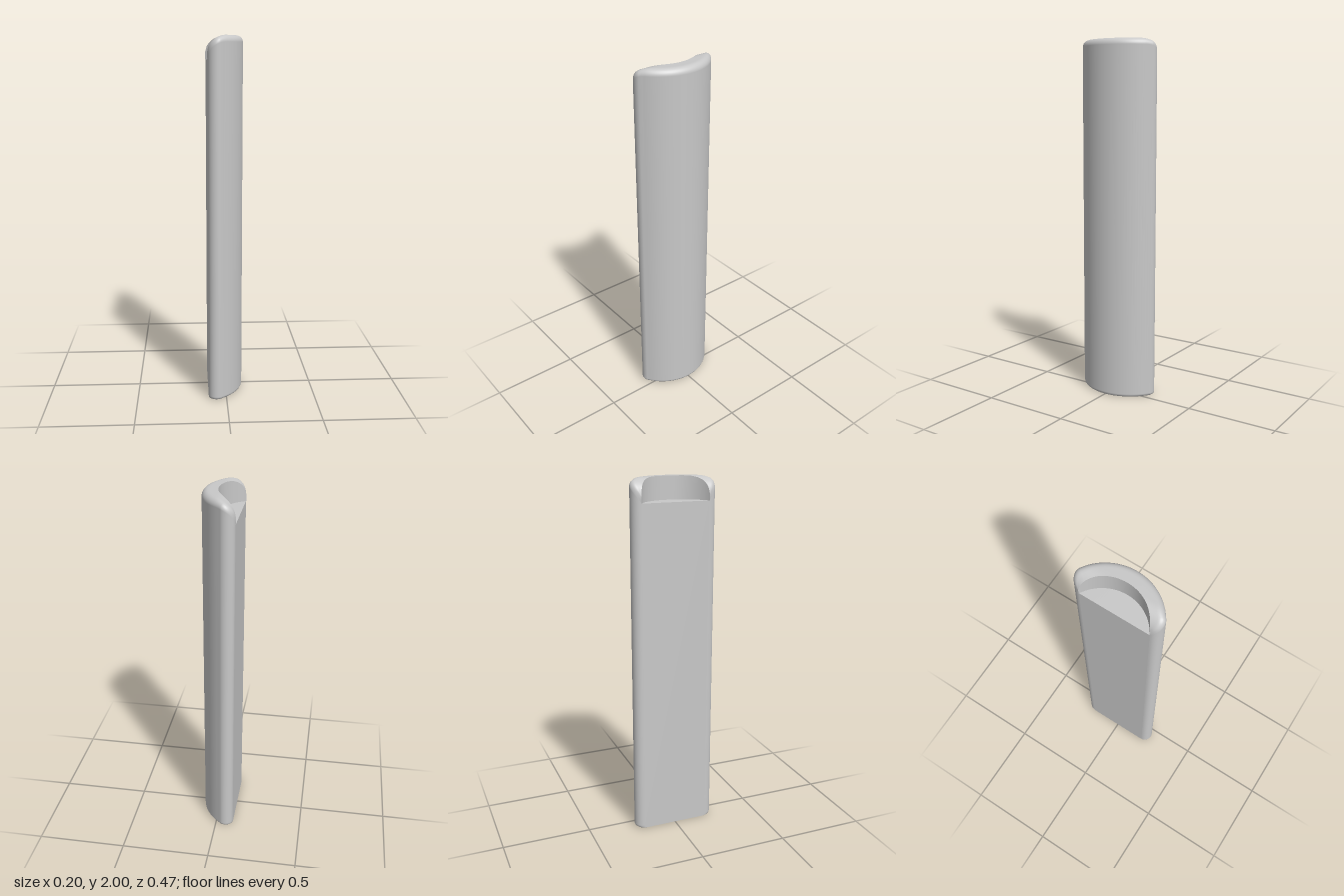
import * as THREE from 'three';

const BACK = -0.1, FLOOR = 1.875, FILLET = 0.035;
const TIP = { x: -0.054, z: 0.191, r: 0.046 };   // rounded ends of the crescent
const OUTER = { x: -0.172, r: 0.269 };           // front curve
const INNER = { x: -0.203, r: 0.216, max: 1.085 }; // pocket curve

// Smooth surface through rows of points (columns run right, rows run up, seen from outside)
function grid(rows) {
  const n = rows[0].length, pos = [], index = [];
  rows.forEach(row => row.forEach(p => pos.push(p.x, p.y, p.z)));
  for (let i = 0; i < rows.length - 1; i++) {
    for (let j = 0; j < n - 1; j++) {
      const a = i * n + j, b = a + 1, c = a + n, d = c + 1;
      index.push(a, b, d, a, d, c);
    }
  }
  const g = new THREE.BufferGeometry();
  g.setAttribute('position', new THREE.Float32BufferAttribute(pos, 3));
  g.setIndex(index);
  g.computeVertexNormals();
  return g;
}

// Outer outline from the +z end round the front to the -z end
function outline() {
  const half = [], join = Math.atan2(TIP.z, TIP.x - OUTER.x);
  for (let i = 0; i <= 14; i++) {
    const a = Math.PI + (join - Math.PI) * i / 14;
    half.push([TIP.x + TIP.r * Math.cos(a), TIP.z + TIP.r * Math.sin(a)]);
  }
  for (let i = 1; i <= 18; i++) {
    const a = join * (1 - i / 18);
    half.push([OUTER.x + OUTER.r * Math.cos(a), OUTER.r * Math.sin(a)]);
  }
  return half.concat(half.slice(0, -1).reverse().map(([x, z]) => [x, -z]));
}

// Rim height falls away in a curve toward the back
function crest(x) {
  const u = THREE.MathUtils.clamp(-x / 0.1, 0, 1);
  return 2 - 0.09 * (1 - Math.sqrt(1 - u * u));
}

export function createModel() {
  const group = new THREE.Group();
  const grey = new THREE.MeshStandardMaterial({ color: 0xc8c8c8 });
  grey.name = 'light grey';
  const add = (name, rows) => {
    const mesh = new THREE.Mesh(grid(rows), grey);
    mesh.name = name;
    group.add(mesh);
  };

  const outer = outline();
  // Matching point on the pocket curve for each outline point
  const inner = outer.map(([x, z], i) => {
    if (i === 0 || i === outer.length - 1) return [x, z];
    const a = THREE.MathUtils.clamp(Math.atan2(z, x - INNER.x), -INNER.max, INNER.max);
    return [INNER.x + INNER.r * Math.cos(a), INNER.r * Math.sin(a)];
  });

  // Curved shell: small fillet at the foot, straight wall, rounded rim
  const shell = [];
  for (let i = 0; i <= 4; i++) {
    const a = i / 4 * Math.PI / 2, k = 1 - 0.07 * (1 - Math.sin(a));
    shell.push(outer.map(([x, z]) =>
      new THREE.Vector3(BACK + (x - BACK) * k, 0.018 * (1 - Math.cos(a)), z * k)));
  }
  const rim = [];
  for (let i = 0; i <= 12; i++) {
    const f = (i / 12) ** 2;
    rim.push(outer.map(([x, z], j) => {
      const [ix, iz] = inner[j];
      const px = x + (ix - x) * f, pz = z + (iz - z) * f;
      const gap = Math.max(0, FILLET - f * Math.hypot(ix - x, iz - z));
      const drop = FILLET - Math.sqrt(FILLET * FILLET - gap * gap);
      return new THREE.Vector3(px, Math.max(FLOOR, crest(px) - drop), pz);
    }));
  }
  add('curvedShell', shell.concat(rim));

  // Pocket at the top, open toward the back
  const floorEdge = inner.map(([x, z]) => new THREE.Vector3(x, FLOOR, z));
  add('pocketWall', [rim[12], floorEdge]);
  add('pocketFloor', [floorEdge, floorEdge.map(p => new THREE.Vector3(BACK, FLOOR, p.z))]);

  // Flat back panel between the two rounded ends
  const last = outer.length - 1;
  add('backPanel', shell.concat([rim[0]]).map(row => [row[last], row[0]]));

  // Flat underside
  const foot = shell[0], edge = foot[0].z;
  add('base', [foot.map(p =>
    new THREE.Vector3(BACK, 0, THREE.MathUtils.clamp(p.z, -edge, edge))), foot]);

  return group;
}
